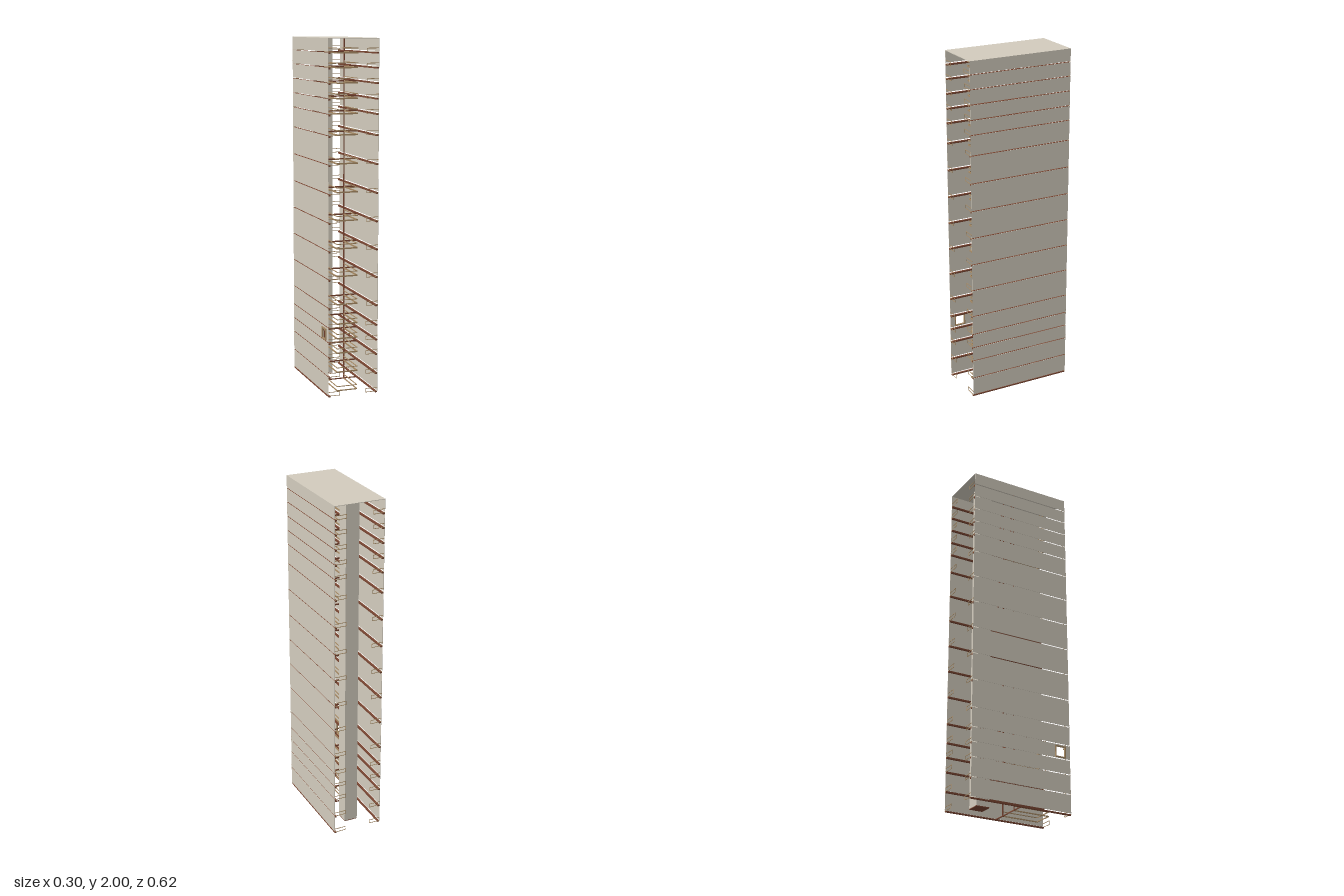
import * as THREE from 'three';

const mat = (name, color) => {
  const m = new THREE.MeshStandardMaterial({ color });
  m.name = name;
  return m;
};

export function createModel() {
  const model = new THREE.Group();
  model.name = 'towerSection';
  const concrete = mat('warm concrete', 0xd2cbbd);
  const redBrown = mat('red brown', 0x7a4632);
  const timber = mat('timber', 0xa98c66);

  const box = (parent, name, m, x0, x1, y0, y1, z0, z1) => {
    const mesh = new THREE.Mesh(new THREE.BoxGeometry(x1 - x0, y1 - y0, z1 - z0), m);
    mesh.position.set((x0 + x1) / 2, (y0 + y1) / 2, (z0 + z1) / 2);
    mesh.name = name;
    parent.add(mesh);
  };

  // rectangle in the z-y plane with a rectangular hole, extruded along x
  const pierced = (parent, name, m, x, depth, [z0, z1, y0, y1], [a0, a1, b0, b1]) => {
    const rect = (path, l, r, b, t) =>
      path.moveTo(l, b).lineTo(r, b).lineTo(r, t).lineTo(l, t).closePath();
    const shape = rect(new THREE.Shape(), -z1, -z0, y0, y1);
    shape.holes.push(rect(new THREE.Path(), -a1, -a0, b0, b1));
    const geo = new THREE.ExtrudeGeometry(shape, { depth, bevelEnabled: false });
    geo.rotateY(Math.PI / 2);
    const mesh = new THREE.Mesh(geo, m);
    mesh.position.x = x;
    mesh.name = name;
    parent.add(mesh);
  };

  const LEFT = 0.15, RIGHT = 0.146, D = 0.311, T = 0.002, GAP = 0.006;
  const levels = [0.006, 0.116, 0.228, 0.313, 0.398, 0.511, 0.673, 0.832, 0.991,
    1.151, 1.312, 1.472, 1.589, 1.673, 1.758, 1.842, 1.923];
  const windowLevel = 3;
  const windowHole = [0.22, 0.275, 0.328, 0.384];

  // roof slab and service core
  box(model, 'roof', concrete, -RIGHT, LEFT, 1.997, 2, -D, D);
  box(model, 'core', concrete, -0.04, 0.04, 0.004, 1.997, -0.22, -0.14);
  box(model, 'coreBase', redBrown, -0.04, 0.04, 0, 0.004, -0.22, -0.14);

  levels.forEach((y, i) => {
    const floor = new THREE.Group();
    floor.name = 'floor' + i;
    model.add(floor);
    const bottom = y + GAP;
    const top = i + 1 < levels.length ? levels[i + 1] : 1.997;
    const ledgeBottom = Math.max(0, y - 0.008);

    for (const s of [-1, 1]) {
      const W = s > 0 ? LEFT : RIGHT;
      const span = (a, b) => (s > 0 ? [a, b] : [-b, -a]);
      // side walls and inner ledges
      if (s < 0 && i === windowLevel) {
        pierced(floor, 'windowWall', concrete, -W, T, [-D, D, bottom, top], windowHole);
      } else {
        box(floor, 'wall', concrete, ...span(W - T, W), bottom, top, -D, D);
      }
      box(floor, 'ledge', redBrown, ...span(W - 0.013, W - T), ledgeBottom, y + 0.001, -D, D);
      // end railings
      for (const e of [-1, 1]) {
        const z0 = e * (D - 0.001) - 0.001, z1 = z0 + 0.002;
        box(floor, 'endRail', timber, ...span(0.078, W), y + 0.021, y + 0.024, z0, z1);
        box(floor, 'endSill', timber, ...span(0.078, W), y, y + 0.003, z0, z1);
        box(floor, 'endPost', timber, ...span(0.078, 0.08), y, y + 0.024, z0, z1);
      }
    }
    // stairwell rails on three sides and cross beam
    for (const [a, b] of [[ledgeBottom, y], [y + 0.019, y + 0.023]]) {
      for (const x of [-0.06, 0.06]) {
        box(floor, 'wellSideRail', timber, x - 0.002, x + 0.002, a, b, 0, 0.216);
      }
      box(floor, 'wellFrontRail', timber, -0.062, 0.062, a, b, 0.216, 0.22);
    }
    box(floor, 'crossBeam', redBrown, -RIGHT + T, LEFT - T, ledgeBottom, y, -0.004, 0);
  });

  // stairwell poles
  for (const [x, r] of [[-0.06, 0.0015], [0.06, 0.003]]) {
    box(model, 'pole', redBrown, x - r, x + r, 0, 1.997, -r, r);
  }

  // window surround
  pierced(model, 'windowFrame', timber, -0.152, 0.01, [0.214, 0.281, 0.322, 0.39], windowHole);

  return model;
}
